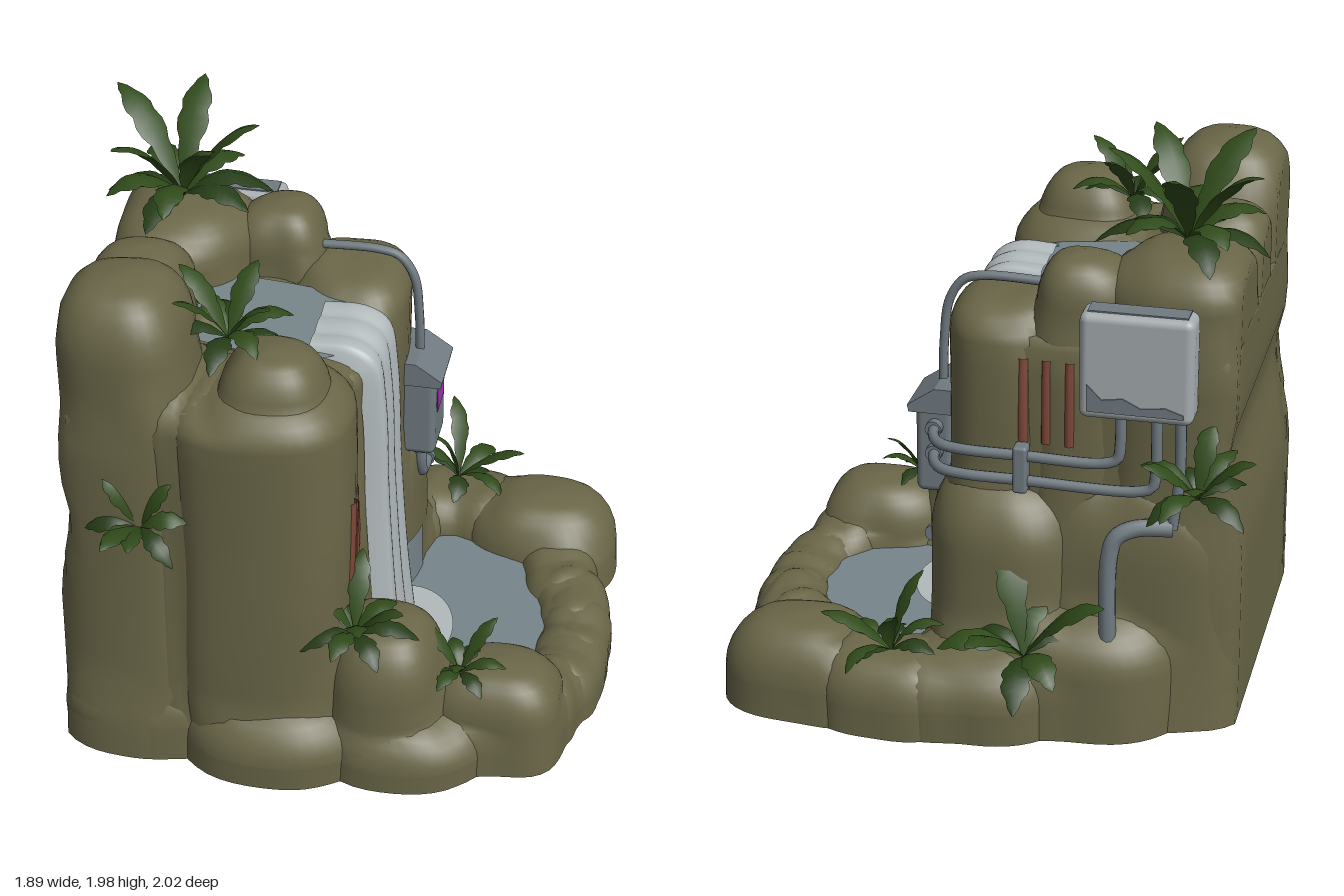
import * as THREE from 'three';
import { mergeVertices } from 'three/addons/utils/BufferGeometryUtils.js';
import { RoundedBoxGeometry } from 'three/addons/geometries/RoundedBoxGeometry.js';

const mat = (name, color, side = THREE.FrontSide) =>
  Object.assign(new THREE.MeshStandardMaterial({ color, side }), { name });
const V = (x, y, z) => new THREE.Vector3(x, y, z);

// Rock columns: [x, z, x radius, z radius, height, flare at the foot, dome height, squareness]
const ROCKS = {
  cliff: [
    [-0.45, 0.15, 0.5, 0.57, 1.37, 0, 0.04, 6], [-0.1, 0.15, 0.2, 0.22, 1.38, 0.1, 0.08, 4],
    [-0.66, 0.54, 0.22, 0.235, 1.8, 0.17, 0.24], [-0.18, 0.58, 0.275, 0.255, 1.45, 0, 0.1],
    [-0.43, 0.54, 0.15, 0.22, 1.44, 0.1, 0.1], [-0.15, 0.59, 0.18, 0.17, 1.61, 0, 0.2],
    [-0.7, 0.17, 0.17, 0.14, 1.67], [-0.65, -0.2, 0.24, 0.25, 1.66],
    [-0.3, -0.28, 0.14, 0.15, 1.63], [-0.03, -0.22, 0.18, 0.23, 1.46, 0, 0.12],
    [-0.43, 0.21, 0.08, 0.06, 1.45, 0, 0.04],
  ],
  foothill: [
    [-0.05, -0.31, 0.23, 0.26, 0.82, 0.1, 0.2], [-0.5, -0.31, 0.33, 0.18, 0.85, 0.15, 0.25],
    [-0.35, -0.45, 0.3, 0.21, 0.4], [0.0, -0.55, 0.25, 0.22, 0.28], [0.3, -0.61, 0.2, 0.18, 0.27],
    [-0.15, 0.65, 0.3, 0.255, 0.24], [-0.62, 0.58, 0.26, 0.24, 0.3], [0.24, 0.59, 0.18, 0.2, 0.56, 0.12, 0.22],
    [0.3, 0.61, 0.27, 0.22, 0.2],
  ],
  poolRim: [
    [0.62, -0.54, 0.25, 0.205, 0.32, 0.05, 0.2], [0.61, 0.51, 0.205, 0.18, 0.365, 0.05],
    [0.7, -0.28, 0.125, 0.155, 0.19], [0.78, -0.14, 0.115, 0.155, 0.195], [0.81, 0.03, 0.11, 0.17, 0.17],
    [0.8, 0.2, 0.115, 0.155, 0.18], [0.74, 0.36, 0.125, 0.135, 0.21],
  ],
};
const makeRock = ([x, z, rx, rz, h, flare = 0, dome = 0.16, p = 2.7]) =>
  ({ x, z, rx, rz, h, flare, dome: Math.min(dome, h * 0.6), p, seed: x * 17 + z * 29 });

// Outline of a rock at an angle and height, relative to its radii
function outline({ p, seed, flare, h }, a, y) {
  const square = (Math.abs(Math.cos(a)) ** p + Math.abs(Math.sin(a)) ** p) ** (-1 / p);
  const lump = 1 + 0.025 * Math.sin(3 * a + seed) + 0.025 * Math.sin(6 * y + 2 * a + seed);
  return square * lump * (1 + flare * (1 - y / h) ** 2);
}
// Flat rear wall that trims every rock
const wallX = (y) => -0.88 + 0.03 * THREE.MathUtils.smoothstep(y, 0.6, 0.82)
  + 0.03 * Math.exp(-(((y - 0.95) / 0.1) ** 2));

// Rough distance from a point to a rock, negative inside
function distance(r, x, y, z) {
  const rise = Math.min(1, Math.max(0, y - r.h + r.dome) / (0.95 * r.dome));
  const dx = (x - r.x) / r.rx, dz = (z - r.z) / r.rz;
  const limit = (0.35 + 0.65 * Math.sqrt(1 - rise * rise)) * outline(r, Math.atan2(dz, dx), Math.min(y, r.h));
  const across = (Math.hypot(dx, dz) - limit) * Math.min(r.rx, r.rz);
  return rise < 1 ? across : Math.hypot(Math.max(across, 0), Math.max(y - r.h, 0));
}

// Domed column, open underneath, swelling softly into its neighbours; buried faces are left out
function rockGeometry(r, index, all) {
  const pts = [];
  for (let i = 0; i < 16; i++) pts.push(new THREE.Vector2(1, (r.h - r.dome) * i / 16));
  for (let i = 0; i <= 7; i++) {
    const a = i / 7 * Math.PI / 2;
    pts.push(new THREE.Vector2(0.35 + 0.65 * Math.cos(a), r.h - r.dome + r.dome * 0.95 * Math.sin(a)));
  }
  pts.push(new THREE.Vector2(0.16, r.h - r.dome * 0.01), new THREE.Vector2(0, r.h));
  let g = new THREE.LatheGeometry(pts, 40);
  let P = g.attributes.position;
  for (let i = 0; i < P.count; i++) {
    const y = P.getY(i), a = Math.atan2(P.getZ(i), P.getX(i));
    const k = Math.hypot(P.getX(i), P.getZ(i)) * outline(r, a, y);
    P.setXYZ(i, r.x + r.rx * k * Math.cos(a), y, r.z + r.rz * k * Math.sin(a));
  }
  g.deleteAttribute('uv');
  g.deleteAttribute('normal');
  g = mergeVertices(g, 1e-4);
  g.computeVertexNormals();
  P = g.attributes.position;
  const N = g.attributes.normal, others = all.filter((o) => o !== r), blend = 0.13;
  for (let i = 0; i < P.count; i++) {
    const x = P.getX(i), y = P.getY(i), z = P.getZ(i);
    const near = Math.max(0, Math.min(...others.map((o) => distance(o, x, y, z))));
    const push = blend / 4 * Math.max(0, 1 - near / blend) ** 2;
    const ny = y < 1e-6 ? 0 : Math.max(0, y + N.getY(i) * push);
    P.setXYZ(i, Math.max(x + N.getX(i) * push, wallX(ny)), ny, z + N.getZ(i) * push);
  }
  g.computeVertexNormals();
  const kept = [], idx = g.index.array;
  for (let t = 0; t < idx.length; t += 3) {
    const tri = [idx[t], idx[t + 1], idx[t + 2]];
    const onWall = tri.some((i) => P.getX(i) < wallX(P.getY(i)) + 1e-3);
    const buried = all.some((o, j) => o !== r && (!onWall || j < index)
      && tri.every((i) => distance(o, P.getX(i), P.getY(i), P.getZ(i)) < -0.004));
    if (!buried) kept.push(...tri);
  }
  g.setIndex(kept);
  return g;
}

export function createModel() {
  const D = THREE.DoubleSide;
  const rockMat = mat('rock', 0x6a6648, D), leafMat = mat('leaf', 0x304b1a, D);
  const darkLeafMat = mat('dark leaf', 0x263d17, D), foamMat = mat('pale water', 0xb2babc, D);
  const poolMat = mat('pool water', 0x77858a, D), metalMat = mat('metal', 0x6f7a80);
  const paleMat = mat('pale metal', 0xa4abae), redMat = mat('red', 0x80483a, D);
  const darkRedMat = mat('dark red', 0x6b3c31, D), screenMat = mat('screen', 0xa531b8);

  const model = new THREE.Group();
  const add = (name, geo, material, parent = model) => {
    const m = new THREE.Mesh(geo, material);
    m.name = name;
    parent.add(m);
    return m;
  };
  const group = (name) => {
    const g = new THREE.Group();
    g.name = name;
    model.add(g);
    return g;
  };

  const rocks = group('rocks');
  const all = Object.values(ROCKS).flat().map(makeRock);
  Object.entries(ROCKS).flatMap(([name, list]) => list.map(() => name))
    .forEach((name, i) => add(name, rockGeometry(all[i], i, all), rockMat, rocks));

  // Standing water: discs squared off by a power
  const disc = (name, x, y, z, rx, rz, m, p = 2) => {
    const g = new THREE.CircleGeometry(1, 48).rotateX(-Math.PI / 2), P = g.attributes.position;
    for (let i = 1; i < P.count; i++) {
      const k = (Math.abs(P.getX(i)) ** p + Math.abs(P.getZ(i)) ** p) ** (-1 / p);
      P.setXYZ(i, P.getX(i) * k * rx, 0, P.getZ(i) * k * rz);
    }
    const d = add(name, g, m);
    d.position.set(x, y, z);
    return d;
  };
  disc('pool', 0.4, 0.14, 0.0, 0.41, 0.46, poolMat, 4);
  disc('splash', 0.2, 0.146, 0.14, 0.18, 0.24, foamMat);
  disc('channelWater', -0.28, 1.42, 0.14, 0.32, 0.22, poolMat, 3).rotation.z = -0.07;

  // Waterfall: a sheet of three soft strands swept down the cliff
  const fallPath = new THREE.CatmullRomCurve3([V(-0.1, 1.418, 0), V(0.04, 1.418, 0), V(0.115, 1.37, 0),
    V(0.145, 1.2, 0), V(0.16, 0.8, 0), V(0.185, 0.4, 0), V(0.21, 0.14, 0)]);
  const fall = new THREE.PlaneGeometry(1, 1, 24, 32);
  const F = fall.attributes.position;
  for (let i = 0; i < F.count; i++) {
    const v = F.getX(i) + 0.5, t = 0.5 - F.getY(i);
    const c = fallPath.getPoint(t), tan = fallPath.getTangent(t);
    const edge = Math.max(0, Math.abs(v - 0.5) - 0.42) / 0.08;
    const out = 0.01 * Math.abs(Math.sin(3 * Math.PI * v)) - 0.06 * edge * edge;
    const half = 0.16 + 0.03 * t * t;
    F.setXYZ(i, c.x - tan.y * out, c.y + tan.x * out, 0.15 + half * (1 - 2 * v));
  }
  fall.computeVertexNormals();
  add('waterfall', fall, foamMat);

  // Marks that hug the rock, found by casting a ray onto it
  rocks.updateMatrixWorld(true);
  const ray = new THREE.Raycaster();
  const onRock = (from, dir, lift) => {
    ray.set(from, dir);
    const hit = ray.intersectObject(rocks, true)[0];
    return (hit ? hit.point : from).clone().addScaledVector(dir, -lift);
  };
  const bar = (y0, y1, r, from, dir) => {
    const pts = [];
    for (let i = 0; i <= 4; i++) {
      pts.push(onRock(from.clone().setY(y0 + (y1 - y0) * i / 4), dir, -r * 0.5));
    }
    add('redBar', new THREE.TubeGeometry(new THREE.CatmullRomCurve3(pts), 10, r, 8), redMat);
  };
  for (const [z, y0, y1, r] of [[0.62, 0.72, 1.05, 0.024], [0.565, 0.71, 1.01, 0.016],
    [0.515, 0.71, 1.01, 0.015], [0.45, 0.69, 0.98, 0.027]]) bar(y0, y1, r, V(2, 0, z), V(-1, 0, 0));
  for (const x of [-0.3, -0.22, -0.14]) bar(1.0, 1.3, 0.019, V(x, 0, -2), V(0, 0, 1));
  const patch = (name, z0, z1, y0, y1, slant, material) => {
    const g = new THREE.PlaneGeometry(z1 - z0, y1 - y0, 10, 10), P = g.attributes.position;
    for (let i = 0; i < P.count; i++) {
      const dz = -P.getX(i);
      const p = onRock(V(0.24, (y0 + y1) / 2 + P.getY(i) - dz * slant, (z0 + z1) / 2 + dz), V(-1, 0, 0), 0.005);
      P.setXYZ(i, p.x, p.y, p.z);
    }
    g.computeVertexNormals();
    add(name, g, material);
  };
  patch('redPatch', 0.36, 0.5, 0.665, 0.865, 0.15, darkRedMat);
  patch('wetStone', -0.24, -0.02, 0.13, 0.34, -0.1, poolMat);

  // Tank with grey top and worn lower patches
  add('tank', new RoundedBoxGeometry(0.38, 0.37, 0.125, 4, 0.03).translate(-0.54, 1.345, -0.51), paleMat);
  const wear = new THREE.Shape([[-0.16, -0.155], [0.16, -0.155], [0.16, -0.06], [0.11, -0.11],
    [0.04, -0.1], [-0.02, -0.13], [-0.1, -0.12], [-0.16, -0.14]].map((p) => new THREE.Vector2(...p)));
  add('tankWear', new THREE.ExtrudeGeometry(wear, { depth: 0.006, bevelEnabled: false })
    .translate(-0.54, 1.345, -0.577), metalMat);
  add('tankTop', new THREE.BoxGeometry(0.33, 0.006, 0.075).translate(-0.54, 1.531, -0.51), metalMat);

  // Control box with sloping lid and screen
  add('controlBox', new RoundedBoxGeometry(0.13, 0.34, 0.21, 3, 0.025).translate(0.195, 0.89, -0.23), metalMat);
  const lid = new THREE.Shape([[0.12, 1.02], [0.28, 1.02], [0.285, 1.045], [0.19, 1.11], [0.12, 1.11]]
    .map((p) => new THREE.Vector2(...p)));
  add('boxLid', new THREE.ExtrudeGeometry(lid, { depth: 0.23, bevelEnabled: false })
    .translate(0, 0, -0.345), metalMat);
  add('screen', new THREE.BoxGeometry(0.008, 0.1, 0.13).translate(0.259, 0.935, -0.23), screenMat);

  // Pipes
  const pipe = (r, ...pts) => add('pipe', new THREE.TubeGeometry(
    new THREE.CatmullRomCurve3(pts.map((p) => V(...p))), 48, r, 10), metalMat);
  pipe(0.016, [-0.22, 1.49, -0.235], [0.04, 1.495, -0.235], [0.11, 1.475, -0.235], [0.16, 1.4, -0.235],
    [0.18, 1.25, -0.235], [0.185, 1.08, -0.235]);
  [[0.97, -0.48], [0.88, -0.6]].forEach(([y, x]) => {
    pipe(0.019, [0.19, y, -0.31], [0.18, y, -0.4], [0.14, y, -0.465], [0.06, y, -0.49], [-0.15, y, -0.495],
      [x + 0.06, y, -0.495], [x + 0.01, y + 0.02, -0.495], [x, y + 0.08, -0.495], [x, 1.18, -0.495]);
    add('pipeCollar', new THREE.CylinderGeometry(0.029, 0.029, 0.03, 12).rotateX(Math.PI / 2)
      .translate(0.19, y, -0.35), metalMat);
  });
  add('pipeClamp', new RoundedBoxGeometry(0.05, 0.17, 0.06, 2, 0.012).translate(-0.145, 0.925, -0.495), metalMat);
  pipe(0.022, [0.2, 0.74, -0.2], [0.2, 0.64, -0.2], [0.2, 0.585, -0.225], [0.2, 0.565, -0.27], [0.2, 0.565, -0.33]);
  add('pipeCollar', new THREE.CylinderGeometry(0.032, 0.032, 0.03, 12).translate(0.2, 0.71, -0.2), metalMat);
  add('pipeCollar', new THREE.CylinderGeometry(0.03, 0.03, 0.02, 12).rotateX(Math.PI / 2)
    .translate(0.2, 0.565, -0.33), metalMat);
  pipe(0.03, [-0.66, 0.76, -0.5], [-0.54, 0.76, -0.53], [-0.48, 0.73, -0.55], [-0.46, 0.66, -0.56], [-0.46, 0.3, -0.57]);
  pipe(0.019, [-0.68, 1.18, -0.495], [-0.68, 0.95, -0.495], [-0.66, 0.76, -0.5]);

  // Plants: arching, folded, notched leaves around a centre
  function leafGeometry(L, lift, droop, width) {
    const g = new THREE.PlaneGeometry(1, 1, 2, 12), P = g.attributes.position;
    for (let i = 0; i < P.count; i++) {
      const side = P.getX(i) * 2, t = P.getY(i) + 0.5, row = Math.round(t * 12);
      const w = width * (0.1 + Math.sin(Math.PI * t ** 1.15) * (row % 3 === 1 ? 0.78 : 1)) * (t > 0.99 ? 0.2 : 1);
      P.setXYZ(i, L * t, L * (lift * t - droop * t * t) - Math.abs(side) * w * 0.35, side * w);
    }
    g.computeVertexNormals();
    return g;
  }
  // x, y, z, leaf length, leaf count, lean about x, lean about z
  const plants = [
    [-0.64, 1.66, -0.19, 0.32, 14, 0, 0.05], [-0.19, 0.3, -0.65, 0.3, 9, -0.3, 0],
    [0.27, 0.26, -0.64, 0.22, 9, -0.1, -0.3], [-0.75, 0.9, -0.55, 0.22, 11, -0.3, 0],
    [-0.33, 1.54, 0.47, 0.24, 11, 0, 0], [-0.57, 0.97, 0.79, 0.19, 10, 0.55, 0],
    [0.14, 0.57, 0.72, 0.22, 11, 0.15, 0], [0.48, 0.34, 0.58, 0.17, 9, 0.1, 0],
  ];
  plants.forEach(([x, y, z, L, n, leanX, leanZ], k) => {
    const plant = group('plant');
    plant.position.set(x, y, z);
    plant.rotation.set(leanX, 0, leanZ);
    for (let i = 0; i < n; i++) {
      const size = L * (0.9 + 0.1 * Math.sin(i * 2.3 + k));
      const lift = [2.0, 1.0, 1.4][i % 3], droop = [1.0, 1.05, 1.15][i % 3];
      const leaf = add('leaf', leafGeometry(size, lift, droop, L * 0.165), i % 3 === 1 ? darkLeafMat : leafMat, plant);
      leaf.rotation.y = i / n * Math.PI * 2 + 0.2 * Math.sin(i * 5 + k) + k;
    }
  });
  return model;
}
